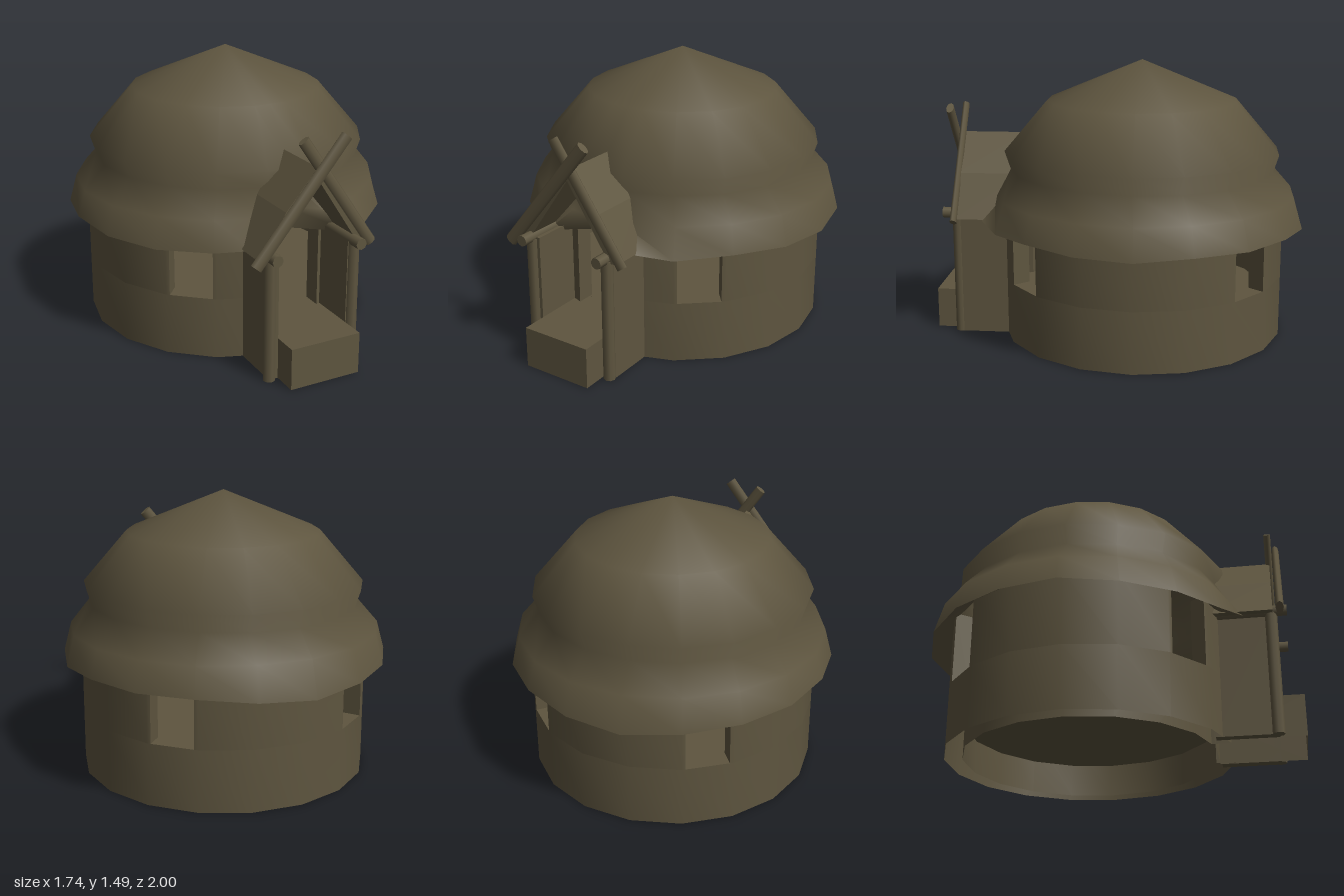
import * as THREE from 'three';
import { toCreasedNormals, mergeVertices } from 'three/addons/utils/BufferGeometryUtils.js';

const RAD = Math.PI / 180;
const SIDES = 18;
const CENTER_Z = -0.13;
const OUTER = 0.772, INNER = 0.675;

export function createModel() {
  const model = new THREE.Group();
  model.name = 'hut';
  // Double-sided because the roof, step and wall are open shells seen from inside as well
  const clay = new THREE.MeshStandardMaterial({ color: 0x5e553f, side: THREE.DoubleSide });
  clay.name = 'earthBrown';

  const add = (name, geometry, x = 0, y = 0, z = 0, parent = model) => {
    const mesh = new THREE.Mesh(geometry, clay);
    mesh.name = name;
    mesh.position.set(x, y, z);
    parent.add(mesh);
    return mesh;
  };

  // Round wall, built from arcs between openings; angles run from the front (+z) towards +x
  const wall = new THREE.Group();
  wall.name = 'roundWall';
  wall.position.z = CENTER_Z;
  model.add(wall);

  const facetPoint = (radius, deg) => {
    const off = deg - Math.round(deg / 20) * 20;
    const r = radius * Math.cos(10 * RAD) / Math.cos(off * RAD);
    return new THREE.Vector2(r * Math.sin(deg * RAD), -r * Math.cos(deg * RAD));
  };
  // from/to are opening centres, w0/w1 the half widths of those openings
  const wallArc = (name, from, w0, to, w1, y0, y1) => {
    const edge = (radius) => {
      const a = from + Math.asin(w0 / radius) / RAD;
      const b = to - Math.asin(w1 / radius) / RAD;
      const pts = [facetPoint(radius, a)];
      for (let d = 10; d < 360; d += 20) if (d > a + 0.5 && d < b - 0.5) pts.push(facetPoint(radius, d));
      pts.push(facetPoint(radius, b));
      return pts;
    };
    const shape = new THREE.Shape([...edge(OUTER), ...edge(INNER).reverse()]);
    const geo = new THREE.ExtrudeGeometry(shape, { depth: y1 - y0, bevelEnabled: false });
    geo.rotateX(-Math.PI / 2);
    // the wall is hollow underneath: drop the lower cap, which comes first
    const positions = geo.attributes.position.array.slice((geo.groups[0].count / 2) * 3);
    const open = new THREE.BufferGeometry();
    open.setAttribute('position', new THREE.BufferAttribute(positions, 3));
    add(name, toCreasedNormals(open, 0.5), 0, y0, 0, wall);
  };
  const DOOR = 0.16, WINDOW = 0.115;
  wallArc('lowerWall', 0, DOOR, 360, DOOR, 0, 0.33);
  const openings = [[0, DOOR], [40, WINDOW], [140, WINDOW], [220, WINDOW], [320, WINDOW], [360, DOOR]];
  for (let i = 0; i < openings.length - 1; i++)
    wallArc('wallPier', ...openings[i], ...openings[i + 1], 0.33, 0.72);

  // Raised floor
  const floor = new THREE.CylinderGeometry(0.69, 0.69, 0.04, SIDES, 1, false, 10 * RAD);
  add('floor', floor, 0, 0.2, CENTER_Z);

  // Two-tier thatched dome: uneven eave, with an extra column tucked in above the door
  const profile = [
    [0.74, 0.72], [0.87, 0.62], [0.83, 0.775], [0.72, 0.905], [0.75, 1.0], [0.515, 1.275], [0, 1.49],
  ].map(([x, y]) => new THREE.Vector2(x, y));
  const eaveHeights = [
    0.645, 0.612, 0.632, 0.618, 0.61, 0.628, 0.622, 0.625, 0.605,
    0.585, 0.605, 0.618, 0.625, 0.635, 0.62, 0.615, 0.622, 0.645, 0.65, 0.645,
  ];
  let roof = new THREE.LatheGeometry(profile, SIDES + 1);
  const p = roof.attributes.position;
  for (let i = 0; i < p.count; i++) {
    const column = Math.floor(i / profile.length), row = i % profile.length;
    const middle = column === SIDES;
    const a = (middle ? 360 : column > SIDES ? 10 : 10 + 20 * column) * RAD;
    const r = profile[row].x * (middle ? Math.cos(10 * RAD) : 1);
    let x = r * Math.sin(a), y = profile[row].y;
    let z = r * Math.cos(a) - (row > 2 ? 0.125 : 0.14);
    if (row === 1) y = eaveHeights[column];
    if (row === 2) z -= 0.01 * Math.cos(a);
    if (middle && row < 3) z -= [0.12, 0.2, 0.11][row];
    if (middle && row === 3) y += 0.025;
    if (row === 1 && !middle && Math.cos(a) > 0.98) x = Math.sign(x) * 0.28;
    p.setXYZ(i, x, y, z);
  }
  roof.deleteAttribute('uv');
  roof.deleteAttribute('normal');
  roof = mergeVertices(roof, 1e-4);
  add('thatchedRoof', toCreasedNormals(roof, 1.5));

  // Porch: step, side walls and gable roof
  const box = (name, x0, x1, y0, y1, z0, z1) =>
    add(name, new THREE.BoxGeometry(x1 - x0, y1 - y0, z1 - z0), (x0 + x1) / 2, (y0 + y1) / 2, (z0 + z1) / 2);
  const step = box('entranceStep', -0.21, 0.18, 0, 0.22, 0.54, 1.0);
  // the step is open underneath: leave out the six indices of its bottom face
  step.geometry.setIndex([...step.geometry.index.array].filter((_, i) => i < 18 || i > 23));
  step.geometry.clearGroups();
  box('porchWallRight', -0.26, -0.21, 0, 0.67, 0.55, 0.865);
  box('porchWallLeft', 0.18, 0.24, 0, 0.67, 0.55, 0.865);

  const gable = new THREE.Shape([
    [-0.32, 0.65], [-0.275, 0.65], [-0.01, 1.025], [0.235, 0.65], [0.28, 0.65],
    [0.16, 0.88], [-0.01, 1.08], [-0.18, 0.88],
  ].map(([x, y]) => new THREE.Vector2(x, y)));
  add('porchRoof', new THREE.ExtrudeGeometry(gable, { depth: 0.35, bevelEnabled: false }), 0, 0, 0.52);

  // Round timbers laid between two points
  const log = (name, a, b, r, flat = 1) => {
    const from = new THREE.Vector3(...a), to = new THREE.Vector3(...b);
    const dir = to.clone().sub(from);
    const geo = new THREE.CylinderGeometry(r, r, dir.length(), 8);
    geo.scale(1, 1, flat);
    const mesh = add(name, geo);
    mesh.position.copy(from).add(to).multiplyScalar(0.5);
    mesh.quaternion.setFromUnitVectors(new THREE.Vector3(0, 1, 0), dir.normalize());
  };
  for (const [x, beamX] of [[-0.257, -0.26], [0.215, 0.21]]) {
    log('porchPost', [x, 0, 0.86], [x, 0.66, 0.86], 0.032);
    log('porchBeam', [beamX, 0.67, 0.58], [beamX, 0.67, 0.942], 0.03);
  }
  log('crossedPole', [-0.36, 0.64, 0.907], [0.125, 1.23, 0.907], 0.035, 0.6);
  log('crossedPole', [0.312, 0.64, 0.867], [-0.09, 1.222, 0.867], 0.031, 0.6);

  return model;
}
